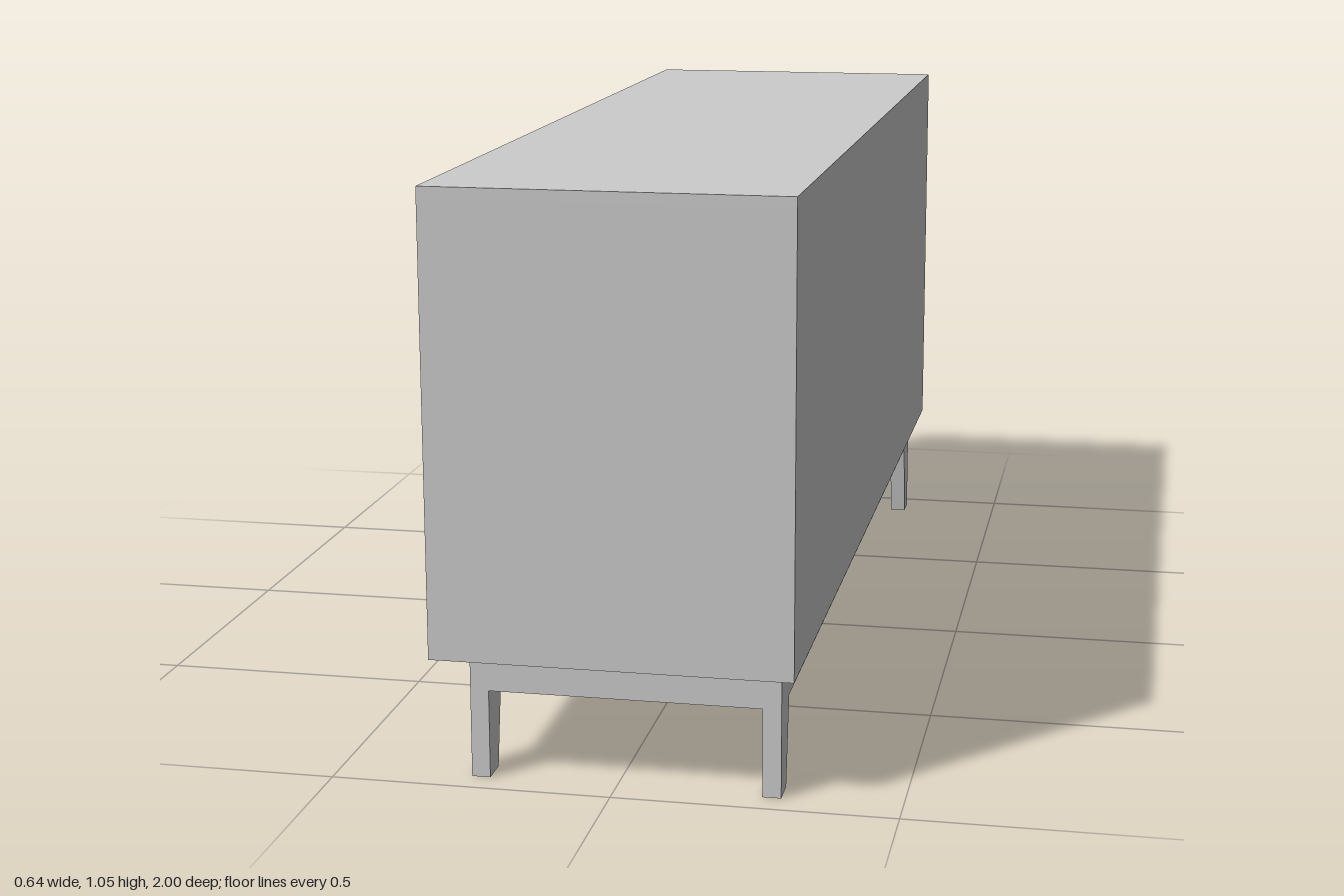
import * as THREE from 'three';

const material = new THREE.MeshStandardMaterial({ color: 0xcccccc });

// Box given by its min and max corners
function box(parent, name, x0, x1, y0, y1, z0, z1) {
  const mesh = new THREE.Mesh(new THREE.BoxGeometry(x1 - x0, y1 - y0, z1 - z0), material);
  mesh.position.set((x0 + x1) / 2, (y0 + y1) / 2, (z0 + z1) / 2);
  mesh.name = name;
  parent.add(mesh);
}

export function createModel() {
  const model = new THREE.Group();
  model.name = 'sideboard';

  // Case: open towards -x
  const X = 0.319, Z = 1, y0 = 0.228, y1 = 1.05, t = 0.02;
  const cabinet = new THREE.Group();
  cabinet.name = 'case';
  model.add(cabinet);
  box(cabinet, 'topBoard', -X, X, y1 - t, y1, -Z, Z);
  box(cabinet, 'bottomBoard', -X, X, y0, y0 + t, -Z, Z);
  for (const s of [-1, 1]) {
    const a = s * Z, b = s * (Z - t);
    box(cabinet, 'sideBoard', -X, X, y0 + t, y1 - t, Math.min(a, b), Math.max(a, b));
  }
  box(cabinet, 'backPanel', X - t, X, y0 + t, y1 - t, -Z + t, Z - t);

  // Recessed drawer fronts in two columns, with finger gaps between rows
  const face = -X + 0.022, inner = face + 0.022;
  box(cabinet, 'divider', face, X - t, y0 + t, y1 - t, -0.01, 0.01);
  box(cabinet, 'drawerBacking', inner, inner + 0.01, y0 + t, y1 - t, -Z + t, Z - t);
  const rows = [[0.25, 0.47], [0.51, 0.722], [0.765, 1.028]];
  for (const s of [-1, 1]) {
    for (const [bottom, top] of rows) {
      const a = s * 0.016, b = s * (Z - t - 0.003);
      box(model, 'drawerFront', face, inner, bottom, top, Math.min(a, b), Math.max(a, b));
    }
  }

  // Base: two side frames, each a rail with tapered legs, joined by end rails
  const base = new THREE.Group();
  base.name = 'base';
  model.add(base);
  const w = 0.033, railY = 0.16, bx0 = -0.26, bx1 = 0.29, bz = 0.95;
  const profile = new THREE.Shape([
    [-bz, 0], [-0.897, 0], [-0.87, railY], [0.87, railY],
    [0.897, 0], [bz, 0], [bz, y0], [-bz, y0],
  ].map(([z, y]) => new THREE.Vector2(z, y)));
  for (const x of [bx0, bx1 - w]) {
    const geometry = new THREE.ExtrudeGeometry(profile, { depth: w, bevelEnabled: false });
    geometry.rotateY(Math.PI / 2);
    const frame = new THREE.Mesh(geometry, material);
    frame.position.x = x;
    frame.name = 'legFrame';
    base.add(frame);
  }
  for (const z of [-bz, bz - w]) {
    box(base, 'endRail', bx0 + w, bx1 - w, railY, y0, z, z + w);
  }
  return model;
}
